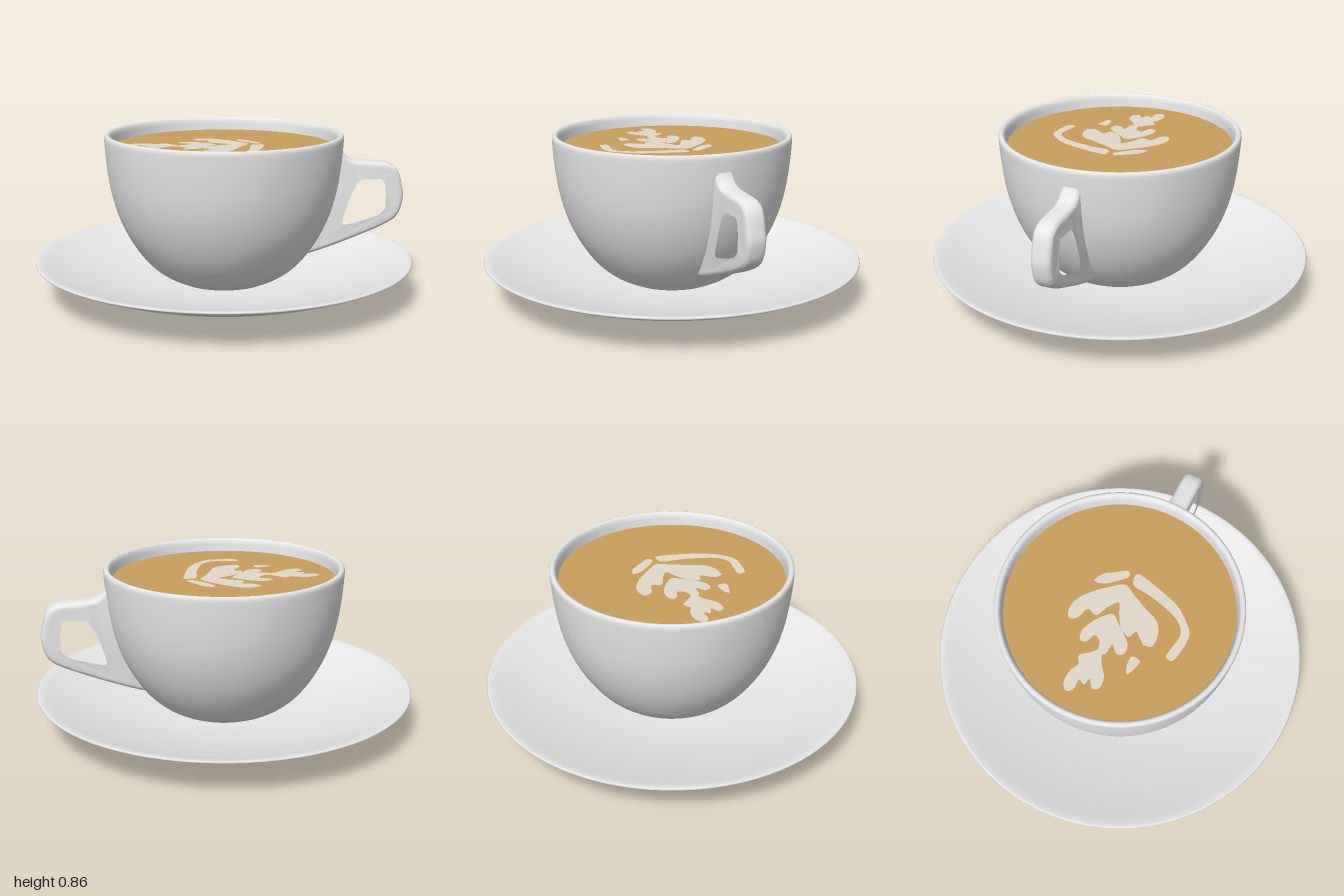
import * as THREE from 'three';
import { mergeVertices, toCreasedNormals } from 'three/addons/utils/BufferGeometryUtils.js';

const material = (name, color) => {
  const m = new THREE.MeshStandardMaterial({ color });
  m.name = name;
  return m;
};
const vectors = (points) => points.map(([x, y]) => new THREE.Vector2(x, y));

// Smooth closed outline through a few points
function smoothOutline(points, steps) {
  const curve = new THREE.CatmullRomCurve3(
    points.map(([x, y]) => new THREE.Vector3(x, y, 0)), true, 'centripetal');
  return curve.getPoints(steps).slice(0, -1).map((p) => new THREE.Vector2(p.x, p.y));
}

// Curved piece of profile through a few points
const curveThrough = (points, steps) => new THREE.SplineCurve(vectors(points)).getPoints(steps);

export function createModel() {
  const model = new THREE.Group();
  const porcelain = material('white porcelain', 0xf0f0f0);
  const coffeeBrown = material('coffee brown', 0xc89e5c);
  const foamCream = material('milk foam', 0xe1d8ca);

  const add = (name, geometry, mat, parent = model) => {
    const mesh = new THREE.Mesh(geometry, mat);
    mesh.name = name;
    parent.add(mesh);
    return mesh;
  };

  // Saucer: shallow dish, underside then rim then top
  add('saucer', new THREE.LatheGeometry([
    ...curveThrough([[0, 0], [0.2, 0.001], [0.38, 0.01], [0.6, 0.055], [0.8, 0.112], [0.94, 0.165], [0.985, 0.184]], 24),
    ...vectors([[0.996, 0.19], [1, 0.195], [0.996, 0.2], [0.985, 0.201]]),
    ...curveThrough([[0.96, 0.195], [0.8, 0.145], [0.6, 0.097], [0.4, 0.066], [0.2, 0.055], [0, 0.055]], 20),
  ], 96), porcelain);

  // Cup: outer wall, rounded lip, inner wall
  add('cup', new THREE.LatheGeometry([
    ...curveThrough([[0, 0.056], [0.2, 0.06], [0.27, 0.08], [0.35, 0.125], [0.43, 0.2], [0.51, 0.32],
      [0.565, 0.445], [0.6, 0.58], [0.619, 0.72], [0.627, 0.835]], 36),
    ...vectors([[0.626, 0.85], [0.62, 0.858], [0.611, 0.86], [0.602, 0.857], [0.596, 0.848]]),
    ...curveThrough([[0.592, 0.835], [0.583, 0.77], [0.56, 0.6], [0.48, 0.36], [0.3, 0.14], [0, 0.1]], 24),
  ], 96), porcelain);

  // Handle: rounded loop whose root is buried in the cup wall
  const handleShape = new THREE.Shape([
    ...curveThrough([[0.61, 0.8], [0.634, 0.75], [0.68, 0.713], [0.783, 0.702], [0.874, 0.692], [0.928, 0.652],
      [0.955, 0.56], [0.96, 0.497], [0.933, 0.41], [0.864, 0.358], [0.714, 0.294], [0.543, 0.23], [0.43, 0.195]], 60),
    ...vectors([[0.36, 0.22], [0.45, 0.4], [0.52, 0.65]]),
  ]);
  handleShape.holes.push(new THREE.Path(smoothOutline([
    [0.714, 0.626], [0.79, 0.632], [0.853, 0.628], [0.878, 0.59], [0.887, 0.5], [0.88, 0.435], [0.837, 0.393],
    [0.714, 0.352], [0.64, 0.338], [0.607, 0.35], [0.628, 0.465], [0.682, 0.59],
  ], 60)));
  let handle = new THREE.ExtrudeGeometry(handleShape, {
    depth: 0.044, bevelEnabled: true, bevelThickness: 0.03, bevelSize: 0.025, bevelOffset: -0.025, bevelSegments: 6,
  });
  handle.translate(0, 0, -0.022);
  handle.deleteAttribute('uv');
  handle.deleteAttribute('normal');
  handle = toCreasedNormals(mergeVertices(handle, 1e-5), 0.8);
  add('handle', handle, porcelain);

  // Coffee surface
  const coffee = new THREE.CircleGeometry(0.586, 96);
  coffee.rotateX(-Math.PI / 2);
  add('coffee', coffee, coffeeBrown).position.y = 0.79;

  // Milk foam leaf pattern: outlines as [x, z] in hundredths
  const foam = new THREE.Group();
  foam.name = 'foamPattern';
  foam.position.y = 0.793;
  model.add(foam);
  const foamShapes = {
    smallHeart: [[-50, -5], [-46, -8], [-39, -7.5], [-35, -5.5], [-31, -7.5], [-27, -3], [-23.5, 1], [-29, 4],
      [-33, 7], [-36, 9], [-42, 9], [-43.5, 6], [-39.5, 3], [-43.5, 1.5], [-42, -1.5], [-48, -2]],
    middleHeart: [[-23.5, -10.5], [-19, -12], [-13, -10], [-8.5, -7], [-4, -2], [-7.5, 3], [-12, 8.5], [-16, 12],
      [-21, 12], [-22, 8.5], [-18.5, 5], [-24.5, 4], [-26, 0.5], [-20, -1.5], [-18, -5], [-23, -7.5]],
    largeHeart: [[-15.5, -21], [-11, -23], [-5, -22], [2, -17], [8, -10.5], [13, -3], [10, 3], [6, 11], [2, 19.5],
      [-4, 23], [-11, 23], [-12, 19], [-7.5, 12.5], [-11.5, 10.5], [-9, 5], [-2, 0.5], [3, -2], [-2, -6], [-8.5, -9.5],
      [-7, -14.5], [-13.5, -17]],
    shortStreak: [[8, -18.5], [13, -16.5], [17, -11], [20.5, -5], [18, -3.5], [13, -8], [9, -13]],
    longStreak: [[15, 0], [21, -0.5], [20.5, 5], [17.5, 16], [14, 25.5], [8.5, 32.5], [3, 37], [-6.5, 37], [-13.5, 35],
      [-13, 31.5], [-7.5, 32], [1, 33], [6.5, 29], [10, 21.5], [13, 10.5]],
    droplet: [[-29.5, 18], [-24.5, 16], [-20, 16.5], [-20.5, 21], [-24.5, 20.5]],
  };
  for (const [name, points] of Object.entries(foamShapes)) {
    const outline = smoothOutline(points.map(([x, z]) => [x / 100, -z / 100]), points.length * 4);
    const plate = new THREE.ShapeGeometry(new THREE.Shape(outline));
    plate.rotateX(-Math.PI / 2);
    add(name, plate, foamCream, foam);
  }
  return model;
}
